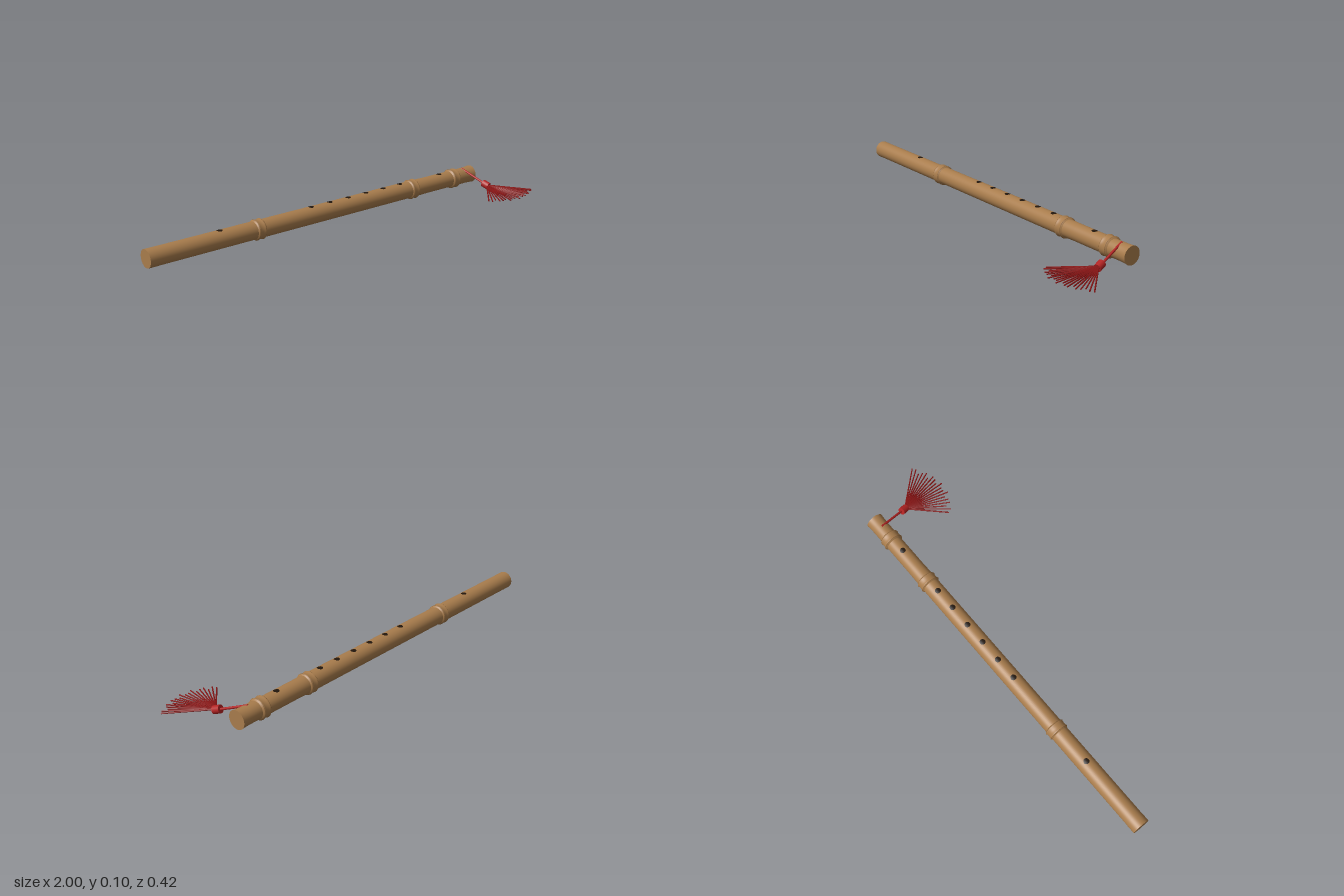
import * as THREE from 'three';

const CY = 0.0485, CZ = -0.165; // axis of the flute
const mat = (color) => new THREE.MeshStandardMaterial({ color });

export function createModel() {
  const group = new THREE.Group();
  const bamboo = mat(0xa87c4c), node = mat(0x8a6238), dark = mat(0x22160c);
  const red = mat(0xb22222), darkRed = mat(0x8b1515);

  const add = (name, geometry, material, parent = group) => {
    const mesh = new THREE.Mesh(geometry, material);
    mesh.name = name;
    parent.add(mesh);
    return mesh;
  };
  // Straight rod between two points
  const rod = (name, a, b, rA, rB, sides, material, parent) => {
    const dir = b.clone().sub(a);
    const mesh = add(name, new THREE.CylinderGeometry(rB, rA, dir.length(), sides), material, parent);
    mesh.position.copy(a).addScaledVector(dir, 0.5);
    mesh.quaternion.setFromUnitVectors(new THREE.Vector3(0, 1, 0), dir.normalize());
    return mesh;
  };
  // Lathe whose axis runs along x; points are [radius, x]
  const turned = (name, points, material) => {
    const mesh = add(name, new THREE.LatheGeometry(points.map(([r, x]) => new THREE.Vector2(r, x)), 48), material);
    mesh.rotation.z = -Math.PI / 2;
    mesh.position.set(0, CY, CZ);
    return mesh;
  };

  // Bamboo tube, slightly narrower toward the tassel end
  turned('tube', [
    [0.0415, -0.999], [0.0415, -0.96], [0.041, -0.95], [0.041, 0.47],
    [0.0395, 0.56], [0.0395, 0.83], [0.041, 0.865], [0.0425, 0.877],
  ], bamboo);
  for (const [x, r, s] of [[-0.999, 0.0415, -1], [0.877, 0.0425, 1]]) {
    const cap = add('endCap', new THREE.CircleGeometry(r, 48), bamboo);
    cap.position.set(x, CY, CZ);
    cap.rotation.y = s * Math.PI / 2;
  }

  // Raised nodes: a band with a ridge on each edge
  for (const x of [-0.443, 0.47, 0.748]) {
    const profile = [[-0.024, 0.039], [-0.019, 0.0455], [-0.015, 0.048], [-0.011, 0.0455],
      [0, 0.0445], [0.011, 0.0455], [0.015, 0.048], [0.019, 0.0455], [0.024, 0.039]];
    turned('node', profile.map(([dx, r]) => [r, x + dx]), bamboo);
    for (const s of [-1, 1]) {
      const line = add('nodeLine', new THREE.TorusGeometry(0.0445, 0.0028, 8, 48), node);
      line.position.set(x + s * 0.016, CY, CZ);
      line.rotation.y = Math.PI / 2;
    }
  }

  // Mouth hole, finger holes and vent, wrapped onto the top of the tube
  for (const x of [-0.64, -0.147, -0.038, 0.07, 0.178, 0.286, 0.393, 0.655]) {
    const geo = new THREE.RingGeometry(0, 0.0135, 24, 4);
    const p = geo.attributes.position;
    const R = x > 0.5 ? 0.0402 : 0.0417;
    for (let i = 0; i < p.count; i++) {
      const u = p.getX(i), v = -p.getY(i);
      p.setXYZ(i, u, Math.sqrt(R * R - v * v), v);
    }
    geo.computeVertexNormals();
    add(x < -0.5 ? 'mouthHole' : 'fingerHole', geo, dark).position.set(x, CY, CZ);
  }

  // Tassel: cord, knot and a flat fan of strands
  const tassel = new THREE.Group();
  tassel.name = 'tassel';
  group.add(tassel);
  const V = (x, y, z) => new THREE.Vector3(x, y, z);
  rod('cord', V(0.815, 0.087, -0.165), V(0.843, 0.035, -0.035), 0.0055, 0.0055, 10, red, tassel);
  rod('knot', V(0.841, 0.036, -0.036), V(0.849, 0.024, -0.004), 0.018, 0.018, 20, red, tassel);

  const count = 19;
  for (let i = 0; i < count; i++) {
    const a = (i / (count - 1) - 0.5) * Math.PI / 2;
    const length = i === count - 1 ? 0.215 : 0.203 + 0.012 * Math.sin(i * 2.3);
    const start = V(0.846 + 0.008 * Math.sin(a), 0.028, -0.008);
    const end = V(0.846 + length * Math.sin(a), 0.0145, -0.005 + length * Math.cos(a));
    rod('strand', start, end, 0.0035, 0.003, 6, darkRed, tassel);
  }
  return group;
}
